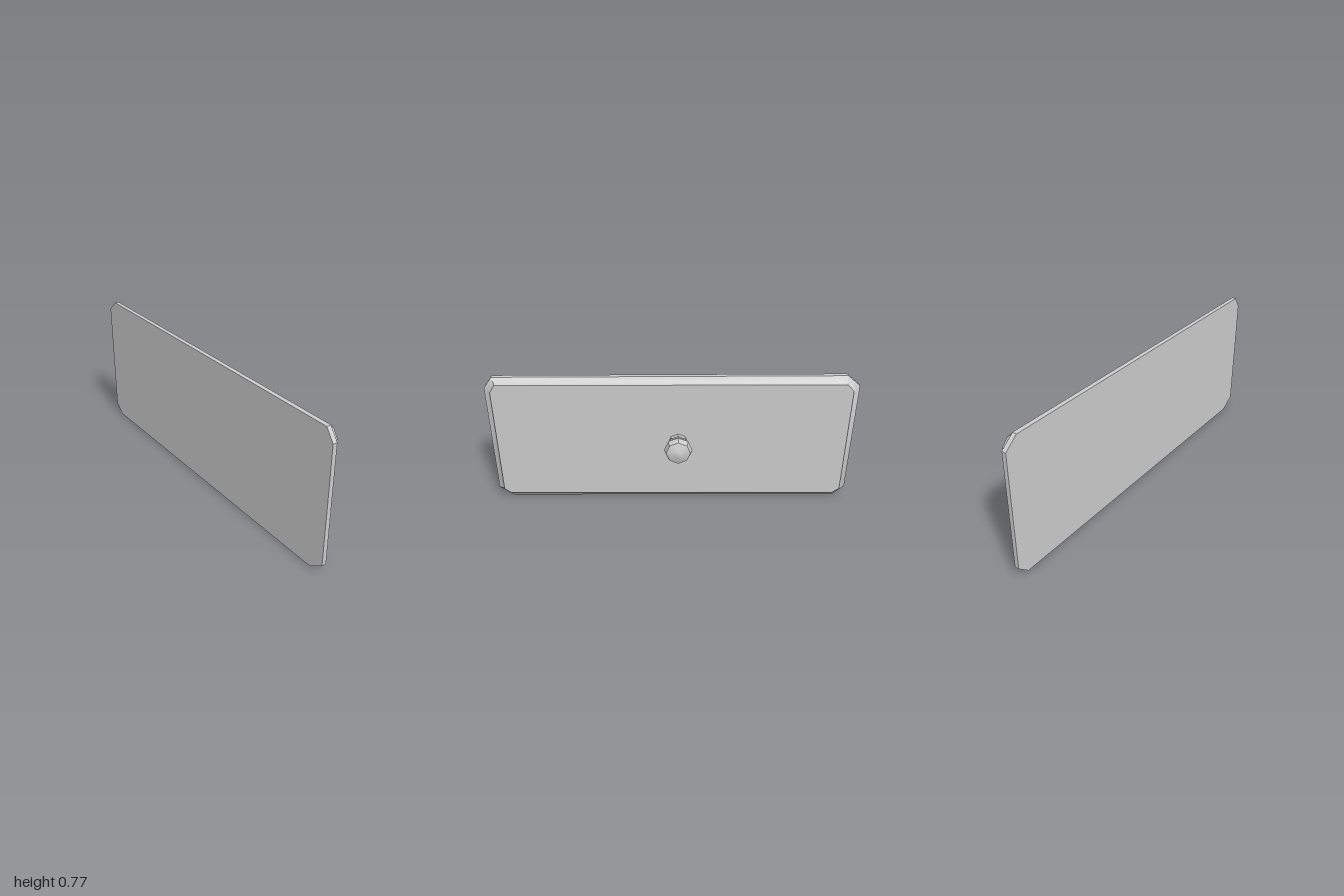
import * as THREE from 'three';
import { toCreasedNormals } from 'three/addons/utils/BufferGeometryUtils.js';

const material = new THREE.MeshStandardMaterial({ color: 0xcccccc });

// Outlines as [z, y], slightly uneven like hand-cut wood
const OUTER = [[1, 0.70], [0.955, 0.764], [-0.93, 0.774], [-1, 0.715],
  [-1, 0.06], [-0.94, 0.004], [0.92, 0], [1, 0.055]];
const INNER = [[0.963, 0.69], [0.935, 0.734], [-0.925, 0.738], [-0.963, 0.70],
  [-0.963, 0.07], [-0.925, 0.04], [0.925, 0.039], [0.963, 0.065]];

// Joins equal-length outlines at successive x, with flat caps at both ends
function loftAlongX(sections) {
  const n = sections[0].outline.length;
  const last = (sections.length - 1) * n;
  const positions = [], index = [];
  for (const { x, outline } of sections) {
    for (const [z, y] of outline) positions.push(x, y, z);
  }
  for (let s = 0; s < last; s += n) {
    for (let j = 0; j < n; j++) {
      const k = (j + 1) % n;
      index.push(s + j, s + n + k, s + k, s + j, s + n + j, s + n + k);
    }
  }
  for (let k = 1; k < n - 1; k++) {
    index.push(0, k, k + 1, last, last + k + 1, last + k);
  }
  const geometry = new THREE.BufferGeometry();
  geometry.setAttribute('position', new THREE.Float32BufferAttribute(positions, 3));
  geometry.setIndex(index);
  return toCreasedNormals(geometry, 0.6);
}

export function createModel() {
  const group = new THREE.Group();
  group.name = 'drawerFront';

  // Panel with a coved edge and cut corners
  const cove = INNER.map(([z, y], i) => [
    THREE.MathUtils.lerp(z, OUTER[i][0], 0.14),
    THREE.MathUtils.lerp(y, OUTER[i][1], 0.14),
  ]);
  const panel = new THREE.Mesh(loftAlongX([
    { x: -0.097, outline: OUTER },
    { x: -0.073, outline: OUTER },
    { x: -0.05, outline: cove },
    { x: -0.037, outline: INNER },
  ]), material);
  panel.name = 'panel';
  group.add(panel);

  // Eight-sided turned knob: [radius, distance along x]
  const profile = [[0, -0.04], [0.054, -0.04], [0.054, -0.013], [0.046, -0.013],
    [0.043, 0.01], [0.077, 0.041], [0.066, 0.075], [0.018, 0.093], [0, 0.095]]
    .map(([r, x]) => new THREE.Vector2(r, x));
  const knobGeometry = new THREE.LatheGeometry(profile, 8);
  knobGeometry.rotateZ(-Math.PI / 2);
  const knob = new THREE.Mesh(toCreasedNormals(knobGeometry, 0.6), material);
  knob.name = 'knob';
  knob.position.set(0, 0.382, -0.035);
  group.add(knob);

  return group;
}
